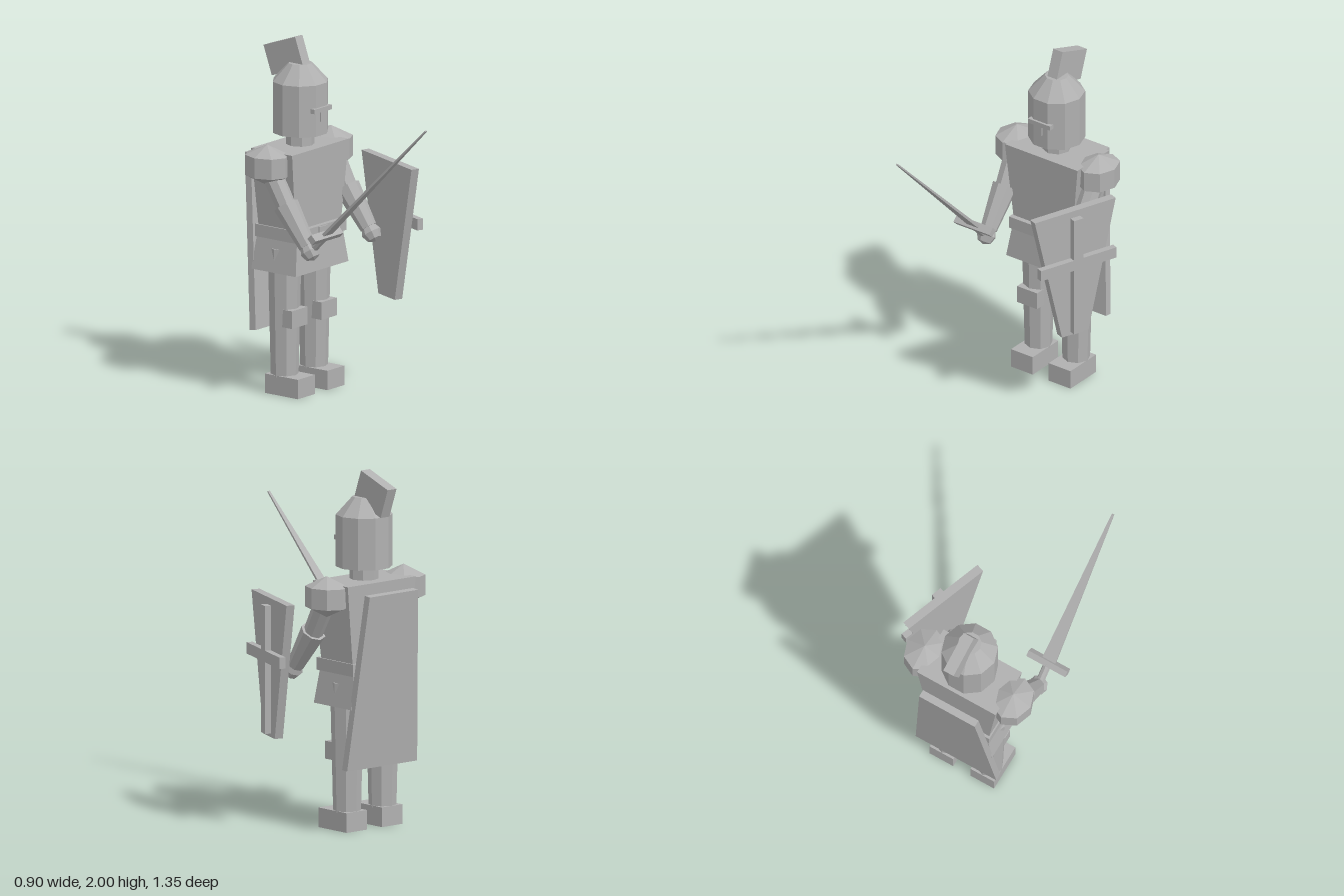
import * as THREE from 'three';

const steel = new THREE.MeshStandardMaterial({ color: 0xb0b0b0, flatShading: true });
steel.name = 'grey';

const CX = -0.058, CZ = -0.428; // body axis

function add(parent, name, geo, x = 0, y = 0, z = 0) {
  const m = new THREE.Mesh(geo, steel);
  m.name = name;
  m.position.set(x, y, z);
  parent.add(m);
  return m;
}

// Box whose top and bottom rectangles differ
function taperBox(wTop, dTop, wBot, dBot, h) {
  const g = new THREE.BoxGeometry(1, h, 1);
  const p = g.attributes.position;
  for (let i = 0; i < p.count; i++) {
    const top = p.getY(i) > 0;
    p.setX(i, p.getX(i) * (top ? wTop : wBot));
    p.setZ(i, p.getZ(i) * (top ? dTop : dBot));
  }
  g.computeVertexNormals();
  return g;
}

// Tapered limb between two points
function limb(parent, name, a, b, ra, rb, sides = 8) {
  const A = new THREE.Vector3(...a), B = new THREE.Vector3(...b);
  const dir = B.clone().sub(A);
  const m = add(parent, name, new THREE.CylinderGeometry(rb, ra, dir.length(), sides));
  m.position.copy(A).add(B).multiplyScalar(0.5);
  m.quaternion.setFromUnitVectors(new THREE.Vector3(0, 1, 0), dir.normalize());
  return m;
}

function buildHead(model) {
  const head = new THREE.Group();
  head.name = 'head';
  head.position.set(CX, 0, -0.425);
  model.add(head);
  add(head, 'neck', new THREE.CylinderGeometry(0.08, 0.08, 0.14, 8), 0, 1.42, 0);
  const turn = Math.PI / 10;
  add(head, 'helmet', new THREE.CylinderGeometry(0.157, 0.157, 0.29, 10), 0, 1.605, 0).rotation.y = turn;
  add(head, 'helmetCrown', new THREE.CylinderGeometry(0.066, 0.157, 0.1, 10), 0, 1.8, 0).rotation.y = turn;
  // T-shaped visor
  add(head, 'visorBar', new THREE.BoxGeometry(0.153, 0.026, 0.03), 0, 1.608, 0.148);
  add(head, 'visorNasal', new THREE.BoxGeometry(0.03, 0.06, 0.02), 0, 1.57, 0.147);
  const plume = add(head, 'plume', new THREE.BoxGeometry(0.065, 0.174, 0.236), 0, 1.877, -0.093);
  plume.rotation.x = -0.343;
}

function buildBody(model) {
  add(model, 'torso', taperBox(0.5, 0.29, 0.4, 0.26, 0.46), CX, 1.16, CZ);
  add(model, 'belt', new THREE.BoxGeometry(0.422, 0.07, 0.306), CX, 0.917, -0.421);
  add(model, 'buckle', new THREE.BoxGeometry(0.07, 0.06, 0.02), CX, 0.917, -0.27);
  add(model, 'skirt', taperBox(0.4, 0.28, 0.466, 0.314, 0.2), CX, 0.8, CZ);
  // Trapezoid cape leaning away at the shoulders
  const cape = add(model, 'cape', taperBox(0.354, 0.042, 0.514, 0.042, 0.985), CX, 0.85, -0.604);
  cape.rotation.x = -0.1;
}

function buildLimbs(model) {
  for (const s of [-1, 1]) {
    const lx = CX + s * 0.13;
    add(model, 'leg', new THREE.CylinderGeometry(0.094, 0.077, 0.73, 8), lx, 0.465, -0.431);
    add(model, 'kneeGuard', new THREE.BoxGeometry(0.137, 0.1, 0.08), lx, 0.44, -0.366);
    add(model, 'foot', new THREE.BoxGeometry(0.15, 0.11, 0.233), lx, 0.055, -0.395);

    const ax = CX + s * 0.27;
    const shoulder = add(model, 'pauldron', new THREE.SphereGeometry(1, 8, 3), CX + s * 0.282, 1.323, -0.434);
    shoulder.scale.set(0.128, 0.115, 0.152);
    limb(model, 'upperArm', [CX + s * 0.275, 1.32, -0.43], [ax, 1.09, -0.3], 0.06, 0.055);
    limb(model, 'forearm', [ax, 1.11, -0.31], [ax, 0.9, -0.16], 0.072, 0.048);
    const hand = add(model, 'hand', new THREE.SphereGeometry(0.056, 8, 4), ax, 0.875, -0.14);
    hand.rotation.x = -0.6;
  }
}

function buildSword(model) {
  const sword = new THREE.Group();
  sword.name = 'sword';
  sword.position.set(-0.328, 0.98, -0.031);
  sword.rotation.x = Math.PI / 4;
  model.add(sword);
  add(sword, 'grip', new THREE.CylinderGeometry(0.023, 0.023, 0.2, 8), 0, -0.1, 0);
  add(sword, 'guard', new THREE.BoxGeometry(0.247, 0.037, 0.045));
  add(sword, 'blade', taperBox(0.014, 0.008, 0.082, 0.016, 1.0), 0, 0.5, 0);
}

function buildShield(model) {
  const shield = new THREE.Group();
  shield.name = 'shield';
  shield.position.set(0.31, 0, -0.085);
  shield.rotation.y = 1.22; // local +z is the outer face
  model.add(shield);
  add(shield, 'shieldPlate', taperBox(0.53, 0.048, 0.174, 0.048, 0.777), 0, 0.892, 0);
  add(shield, 'shieldCrossbar', new THREE.BoxGeometry(0.495, 0.064, 0.036), 0, 0.958, 0.042);
  add(shield, 'shieldUpright', new THREE.BoxGeometry(0.062, 0.716, 0.036), 0, 0.882, 0.042);
}

export function createModel() {
  const model = new THREE.Group();
  model.name = 'knight';
  buildHead(model);
  buildBody(model);
  buildLimbs(model);
  buildSword(model);
  buildShield(model);
  return model;
}
